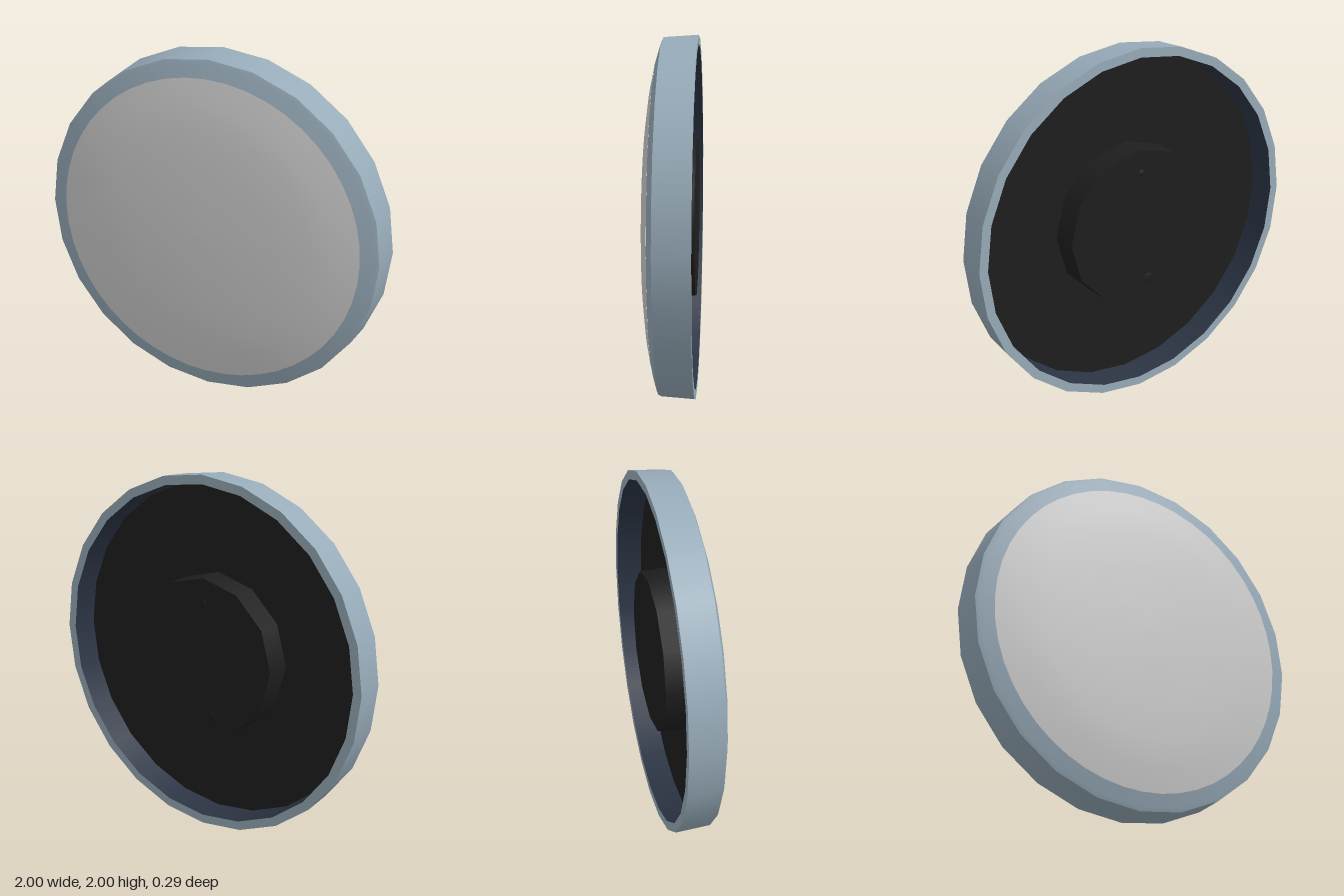
import * as THREE from 'three';

const mat = (name, color, flatShading = false) => {
  const m = new THREE.MeshStandardMaterial({ color, flatShading });
  m.name = name;
  return m;
};

export function createModel() {
  const group = new THREE.Group();
  group.name = 'roundLamp';
  const rimBlue = mat('rimBlue', 0x97abb9);
  const lensGrey = mat('lensGrey', 0xcdcdcd);
  const wallNavy = mat('wallNavy', 0x2b3444);
  const backBlack = mat('backBlack', 0x1e1e1e);

  // Turned surface around the z axis from [radius, z] points
  const turned = (name, points, material, segments = 24) => {
    const geo = new THREE.LatheGeometry(points.map(([r, z]) => new THREE.Vector2(r, z)), segments);
    geo.rotateX(Math.PI / 2);
    const mesh = new THREE.Mesh(geo, material);
    mesh.name = name;
    mesh.position.y = 1;
    group.add(mesh);
    return mesh;
  };

  // Rim: separate bands keep the edges sharp
  turned('rimSide', [[1, -0.145], [0.987, 0.045]], rimBlue);
  turned('rimFront', [[0.987, 0.045], [0.965, 0.054], [0.89, 0.076]], rimBlue);
  turned('rimBack', [[0.95, -0.145], [1, -0.145]], rimBlue);
  turned('rimInnerWall', [[0.94, 0], [0.95, -0.145]], wallNavy);

  // Shallow domed lens
  turned('lens', [[0.89, 0.076], [0.76, 0.103], [0.62, 0.122], [0.42, 0.135], [0.2, 0.143], [0, 0.145]], lensGrey, 48);

  // Recessed back plate with a raised mounting boss
  turned('backPlate', [[0, 0], [0.94, 0]], backBlack);
  turned('bossCap', [[0, -0.14], [0.445, -0.14]], backBlack, 12);
  turned('bossSide', [[0.445, -0.14], [0.45, 0]], backBlack, 12);

  // Small fixings on the boss
  for (const [name, x, y, r] of [['upperFixing', -0.01, 0.31, 0.02], ['lowerFixing', -0.06, -0.33, 0.035]]) {
    const fixing = turned(name, [[0, -0.145], [r * 0.6, -0.145], [r, -0.138]], backBlack, 8);
    fixing.position.set(x, 1 + y, 0);
  }
  return group;
}
